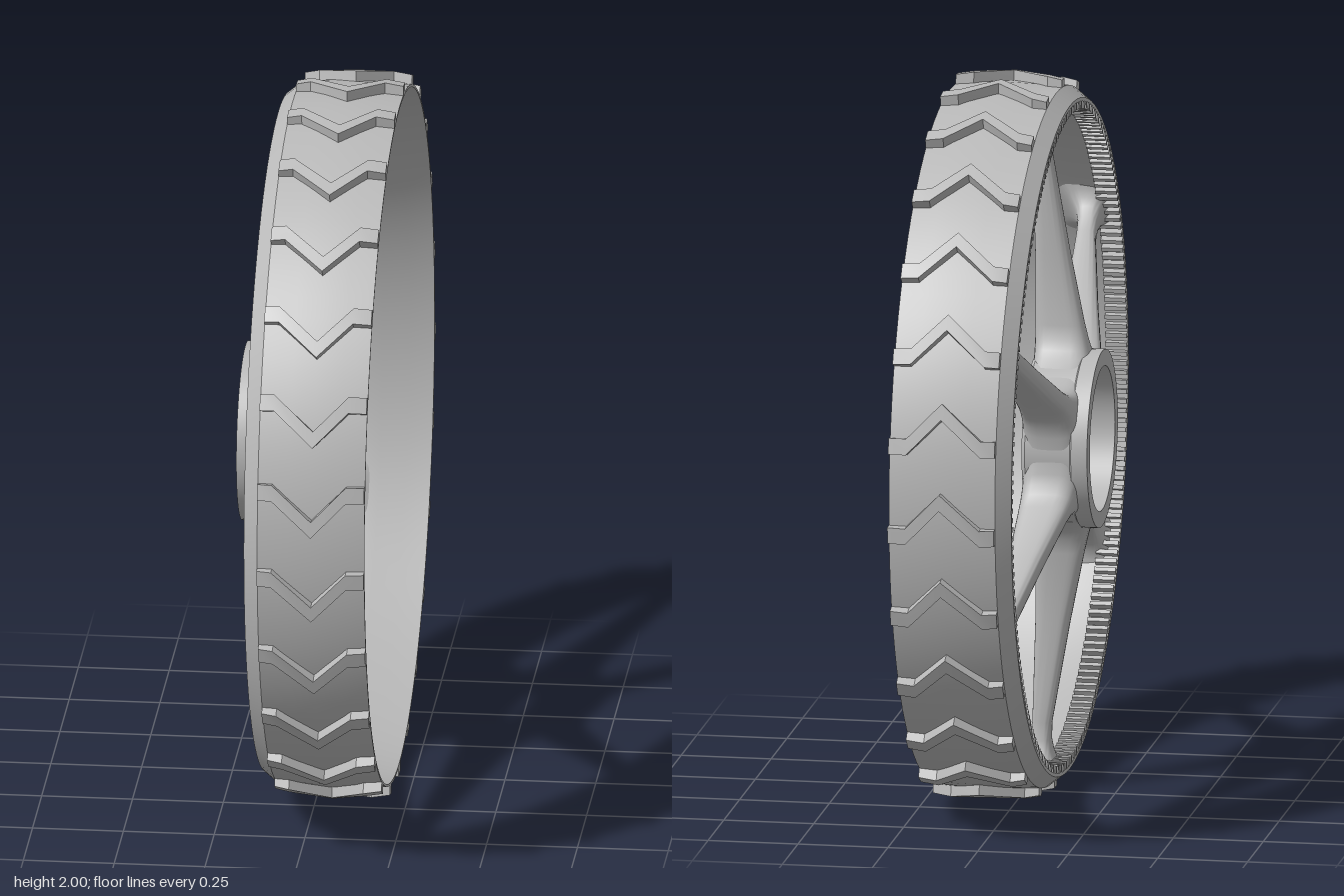
import * as THREE from 'three';
import { mergeGeometries, toCreasedNormals } from 'three/addons/utils/BufferGeometryUtils.js';

const RAD = Math.PI / 180;

// Solid skin through a list of cross-sections (each a loop of [x, y, z])
function loft(sections, crease) {
  const n = sections[0].length, last = sections.length - 1, index = [];
  for (let s = 0; s < last; s++) {
    for (let i = 0; i < n; i++) {
      const a = s * n + i, b = s * n + (i + 1) % n;
      index.push(a, b, b + n, a, b + n, a + n);
    }
  }
  for (let i = 1; i < n - 1; i++) {
    index.push(0, i + 1, i, last * n, last * n + i, last * n + i + 1);
  }
  const g = new THREE.BufferGeometry();
  g.setAttribute('position', new THREE.Float32BufferAttribute(sections.flat(2), 3));
  g.setIndex(index);
  return toCreasedNormals(g, crease);
}

// Closed [x, radius] profile turned around the x axis
function turned(profile, segments, crease) {
  const pts = [...profile, profile[0]].map(([x, r]) => new THREE.Vector2(r, x));
  const g = new THREE.LatheGeometry(pts, segments);
  g.rotateZ(-Math.PI / 2);
  return toCreasedNormals(g, crease);
}

export function createModel() {
  const model = new THREE.Group();
  const grey = new THREE.MeshStandardMaterial({ color: 0xb8b8b8 });
  grey.name = 'plain grey';

  const wheel = new THREE.Group();
  wheel.name = 'wheel';
  wheel.position.y = 1;
  model.add(wheel);
  const add = (name, geometry, angle = 0) => {
    const mesh = new THREE.Mesh(geometry, grey);
    mesh.name = name;
    mesh.rotation.x = angle;
    wheel.add(mesh);
  };

  // Rim: crowned outside, chamfered on one side, flared to a thin lip on the other
  add('rim', turned([
    [-0.125, 0.922], [-0.125, 0.932], [-0.085, 0.964], [0, 0.969], [0.065, 0.971],
    [0.14, 0.969], [0.21, 0.963], [0.21, 0.956], [0.14, 0.947], [0.07, 0.935],
    [0, 0.925], [-0.06, 0.922],
  ], 100, 0.45));

  // Hub: open sleeve with a collar at its outer end
  add('hub', turned([
    [-0.215, 0.2], [-0.215, 0.246], [-0.17, 0.246], [-0.165, 0.238],
    [-0.04, 0.236], [-0.03, 0.228], [-0.03, 0.2],
  ], 72, 0.6));

  // Spokes: [radius, half width, back x, front x], flared at hub and rim
  const stations = [
    [0.215, 0.105, -0.19, -0.03], [0.235, 0.078, -0.186, -0.03], [0.255, 0.058, -0.18, -0.03],
    [0.28, 0.044, -0.174, -0.03], [0.32, 0.035, -0.165, -0.03], [0.52, 0.032, -0.125, -0.03],
    [0.8, 0.029, -0.075, -0.022], [0.85, 0.032, -0.073, -0.018], [0.88, 0.042, -0.078, -0.01],
    [0.9, 0.056, -0.084, 0.003], [0.915, 0.074, -0.092, 0.02], [0.928, 0.1, -0.1, 0.045],
  ];
  const soft = (v) => Math.sign(v) * Math.abs(v) ** 0.6;
  const spoke = loft(stations.map(([r, w, back, front]) =>
    Array.from({ length: 28 }, (_, i) => {
      const a = i / 28 * Math.PI * 2;
      return [(back + front) / 2 + (front - back) / 2 * soft(Math.sin(a)), r, w * soft(Math.cos(a))];
    })), 0.9);
  for (let i = 0; i < 6; i++) add('spoke', spoke, i * 60 * RAD);

  // Tread chevrons: [x, outer radius, leading angle in degrees]
  const path = [
    [-0.085, 0.985, -8.6], [-0.045, 0.993, -8.6], [0.065, 1, -2.9],
    [0.16, 0.997, -8.6], [0.21, 0.989, -8.6],
  ];
  const chevron = loft(path.map(([x, r, deg]) => {
    const point = (radius, d) => [x, radius * Math.cos(d * RAD), radius * Math.sin(d * RAD)];
    return [point(0.958, deg), point(r, deg), point(r, deg + 2.6), point(0.958, deg + 2.6)];
  }), 0.2);
  for (let i = 0; i < 25; i++) add('treadChevron', chevron, i * 14.4 * RAD);

  // Ring of fine gear teeth inside the rim
  const teeth = [];
  for (let i = 0; i < 216; i++) {
    const tooth = new THREE.BoxGeometry(0.06, 0.026, 0.012);
    tooth.translate(-0.095, 0.914, 0);
    tooth.rotateX(i / 216 * Math.PI * 2);
    teeth.push(tooth);
  }
  add('innerTeeth', mergeGeometries(teeth));

  return model;
}
